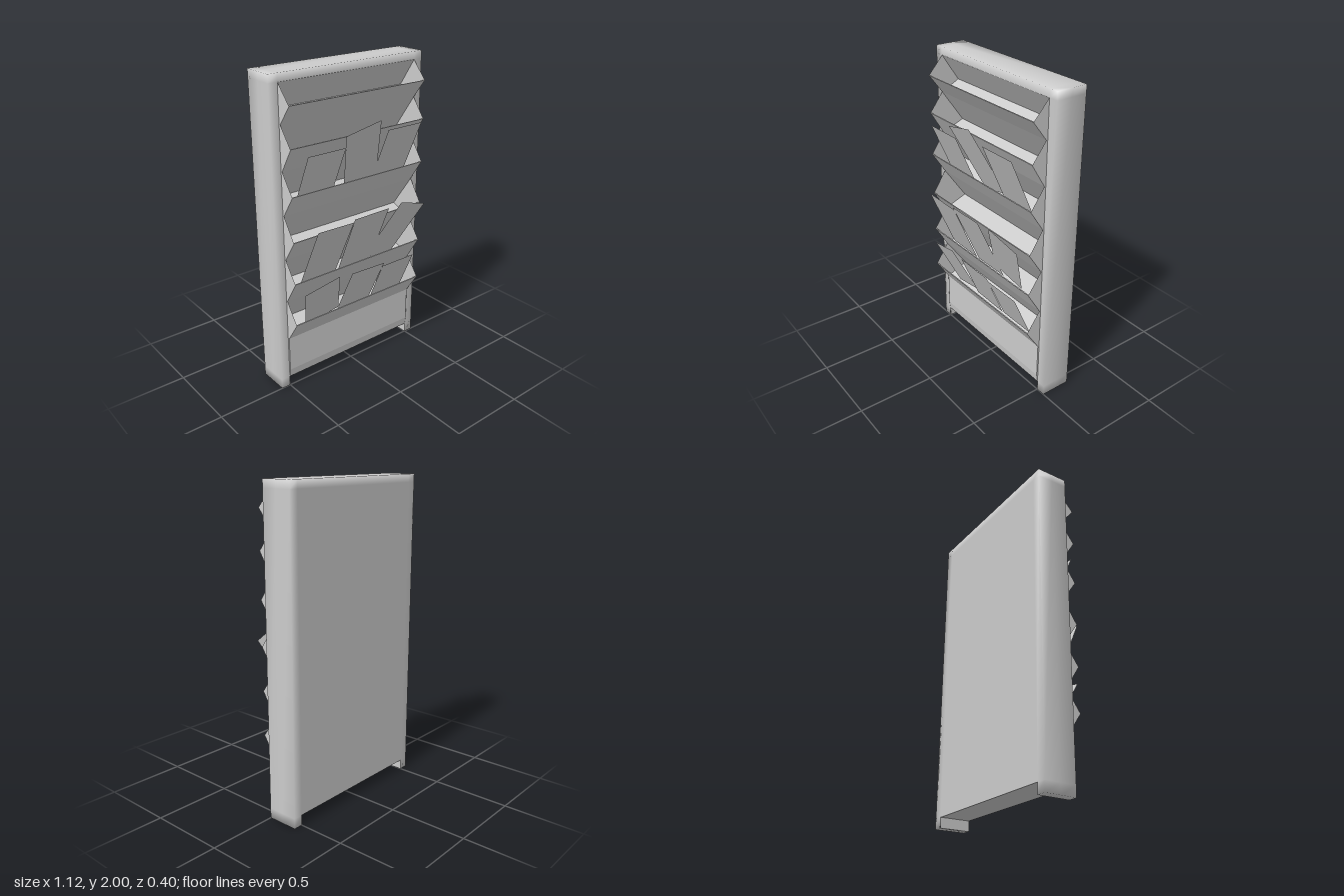
import * as THREE from 'three';
import { mergeVertices } from 'three/addons/utils/BufferGeometryUtils.js';

const grey = new THREE.MeshStandardMaterial({ color: 0xcccccc });
const greyThin = new THREE.MeshStandardMaterial({ color: 0xcccccc, side: THREE.DoubleSide });

const INNER = 0.5, FOOT = 0.065, LIP_Z = 0.1, VALLEY_Z = 0.008;
// Pocket lips, and the valleys between them (one more valley than lips), top to bottom
const lips = [1.84, 1.6, 1.32, 1.04, 0.77, 0.49];
const valleys = [1.95, 1.72, 1.45, 1.18, 0.9, 0.62, 0.35];

function add(parent, geometry, name, material = grey) {
  const mesh = new THREE.Mesh(geometry, material);
  mesh.name = name;
  parent.add(mesh);
  return mesh;
}

// Shape drawn in (z, y), turned so that its plane faces along x
const sideShape = (points) => new THREE.Shape(points.map(([z, y]) => new THREE.Vector2(z, y)));

// Outer case: a box with softly shaded edges, open at the front and between the feet
function caseGeometry() {
  const box = new THREE.BoxGeometry(3, 3, 2, 3, 3, 2);
  box.deleteAttribute('normal');
  box.deleteAttribute('uv');
  const xs = [-0.56, -INNER, INNER, 0.56], ys = [0, FOOT, 1.95, 2], zs = [-0.2, -0.1, 0];
  const p = box.attributes.position;
  for (let i = 0; i < p.count; i++) {
    p.setXYZ(i, xs[Math.round(p.getX(i) + 1.5)], ys[Math.round(p.getY(i) + 1.5)], zs[Math.round(p.getZ(i) + 1)]);
  }
  const kept = [];
  const index = box.index.array;
  for (let i = 0; i < index.length; i += 3) {
    const tri = [index[i], index[i + 1], index[i + 2]];
    const mean = (get) => tri.reduce((sum, v) => sum + get(v), 0) / 3;
    const x = mean((v) => p.getX(v)), y = mean((v) => p.getY(v)), z = mean((v) => p.getZ(v));
    const middle = Math.abs(x) < INNER - 0.01;
    const opening = middle && (y < FOOT - 0.005 || (z > -0.001 && y < 1.94));
    if (!opening) kept.push(...tri);
  }
  box.setIndex(kept);
  const smooth = mergeVertices(box);
  smooth.computeVertexNormals();
  return smooth;
}

// Body between the sides: sloping pocket fronts with deep slots behind their lips
function pocketGeometry() {
  const pts = [[-0.199, FOOT], [0, FOOT], [VALLEY_Z, 0.12]];
  for (let i = lips.length - 1; i >= 0; i--) {
    const below = valleys[i + 1], above = valleys[i];
    const floorY = below + 0.06;
    pts.push(
      [VALLEY_Z, below],
      [LIP_Z, lips[i]],
      [LIP_Z - 0.008, lips[i]],
      [-0.005, below + 0.005],
      [-(above - floorY) * 0.67, floorY]
    );
  }
  pts.push([0, 1.95], [-0.199, 1.95]);
  const width = 2 * INNER - 0.004;
  const geo = new THREE.ExtrudeGeometry(sideShape(pts), { depth: width, bevelEnabled: false });
  return geo.rotateY(-Math.PI / 2).translate(width / 2, 0, 0);
}

// Saw-toothed cheek closing the pocket ends and the inner side of a foot
function cheekGeometry() {
  const pts = [[-0.2, 0], [0, 0], [0, FOOT], [VALLEY_Z, 0.12]];
  for (let i = lips.length - 1; i >= 0; i--) pts.push([VALLEY_Z, valleys[i + 1]], [LIP_Z, lips[i]]);
  pts.push([0, 1.95], [-0.2, 1.95]);
  return new THREE.ShapeGeometry(sideShape(pts)).rotateY(-Math.PI / 2);
}

// Leaflets per pocket: x and y of the top edge's middle, width, tilt in degrees
const leafletRows = [
  { lip: 1.32, items: [[-0.285, 1.555, 0.265, 0], [-0.055, 1.66, 0.245, 15], [0.28, 1.61, 0.265, 0]] },
  { lip: 0.77, items: [[-0.26, 1.105, 0.265, -2], [0.005, 1.125, 0.265, 1], [0.355, 1.1, 0.245, -20]] },
  { lip: 0.49, items: [[-0.33, 0.722, 0.25, 15], [0.022, 0.733, 0.265, -3], [0.285, 0.7, 0.265, 0]] },
];

export function createModel() {
  const model = new THREE.Group();
  model.name = 'leafletRack';

  add(model, caseGeometry(), 'case');
  add(model, pocketGeometry(), 'pockets');
  for (const side of [-1, 1]) {
    add(model, cheekGeometry(), side > 0 ? 'leftCheek' : 'rightCheek', greyThin).position.x = side * (INNER - 0.001);
  }

  // Thin leaflets leaning forward out of their pockets
  const lean = Math.atan(0.44);
  for (const { lip, items } of leafletRows) {
    const row = new THREE.Group();
    row.name = 'leafletRow';
    row.position.set(0, lip, 0.04);
    row.rotation.x = lean;
    for (const [x, top, width, tilt] of items) {
      const rise = (top - lip) / Math.cos(lean);
      const height = rise + 0.09;
      const sheet = new THREE.PlaneGeometry(width, height).translate(0, -height / 2, 0);
      const leaflet = add(row, sheet, 'leaflet', greyThin);
      leaflet.position.set(x, rise, Math.abs(tilt) < 5 ? 0.004 : 0);
      leaflet.rotation.z = THREE.MathUtils.degToRad(tilt);
    }
    model.add(row);
  }
  return model;
}
